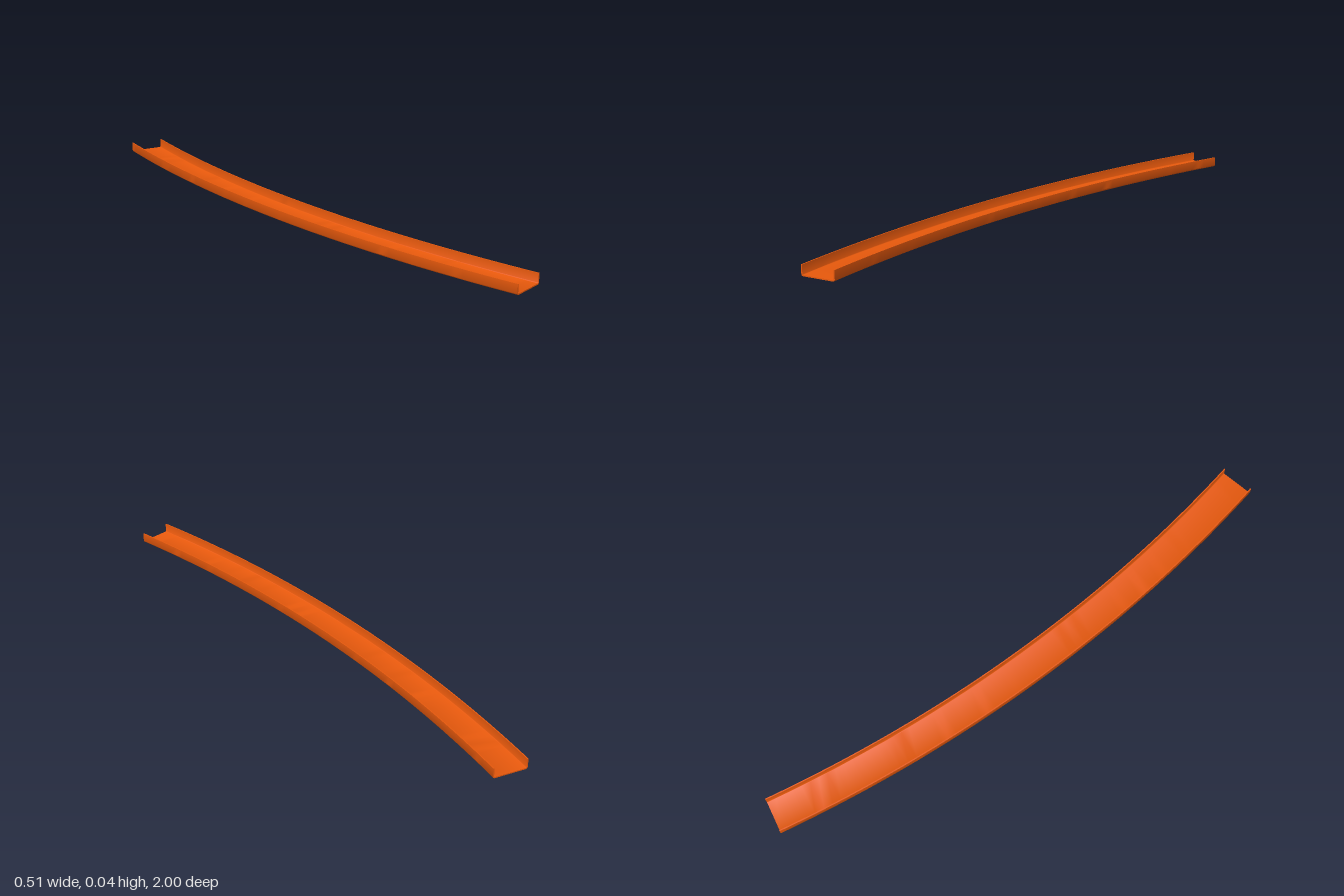
import * as THREE from 'three';
import { toCreasedNormals } from 'three/addons/utils/BufferGeometryUtils.js';

const WIDTH = 0.122, HEIGHT = 0.036, WALL = 0.004, CORNER = 0.007;
const SWEEP = Math.PI / 8;
const OUTER_RADIUS = 2 / Math.sin(SWEEP);
const MID_RADIUS = OUTER_RADIUS - WIDTH / 2;

// U-shaped cross-section with rounded lower corners
function channelProfile() {
  const h = WIDTH / 2, c = h - CORNER, inner = CORNER - WALL;
  const s = new THREE.Shape();
  s.moveTo(-h, HEIGHT);
  s.lineTo(-h, CORNER);
  s.absarc(-c, CORNER, CORNER, Math.PI, Math.PI * 1.5, false);
  s.absarc(c, CORNER, CORNER, Math.PI * 1.5, Math.PI * 2, false);
  s.lineTo(h, HEIGHT);
  s.lineTo(h - WALL, HEIGHT);
  s.absarc(c, CORNER, inner, Math.PI * 2, Math.PI * 1.5, true);
  s.absarc(-c, CORNER, inner, Math.PI * 1.5, Math.PI, true);
  s.lineTo(-h + WALL, HEIGHT);
  s.closePath();
  return s;
}

export function createModel() {
  const group = new THREE.Group();
  group.name = 'curvedTrack';

  const geometry = new THREE.ExtrudeGeometry(channelProfile(), {
    depth: 1, steps: 64, curveSegments: 5, bevelEnabled: false,
  });

  // Bend the straight channel round a horizontal arc, centred in x
  const centreX = (OUTER_RADIUS + (OUTER_RADIUS - WIDTH) * Math.cos(SWEEP)) / 2;
  const p = geometry.attributes.position;
  for (let i = 0; i < p.count; i++) {
    const angle = (1 - p.getZ(i)) * SWEEP;
    const r = MID_RADIUS - p.getX(i);
    p.setX(i, centreX - r * Math.cos(angle));
    p.setZ(i, 1 - r * Math.sin(angle));
  }

  const channel = new THREE.Mesh(
    toCreasedNormals(geometry, 0.6),
    new THREE.MeshStandardMaterial({ color: 0xe8590c }),
  );
  channel.name = 'curvedChannel';
  group.add(channel);
  return group;
}
